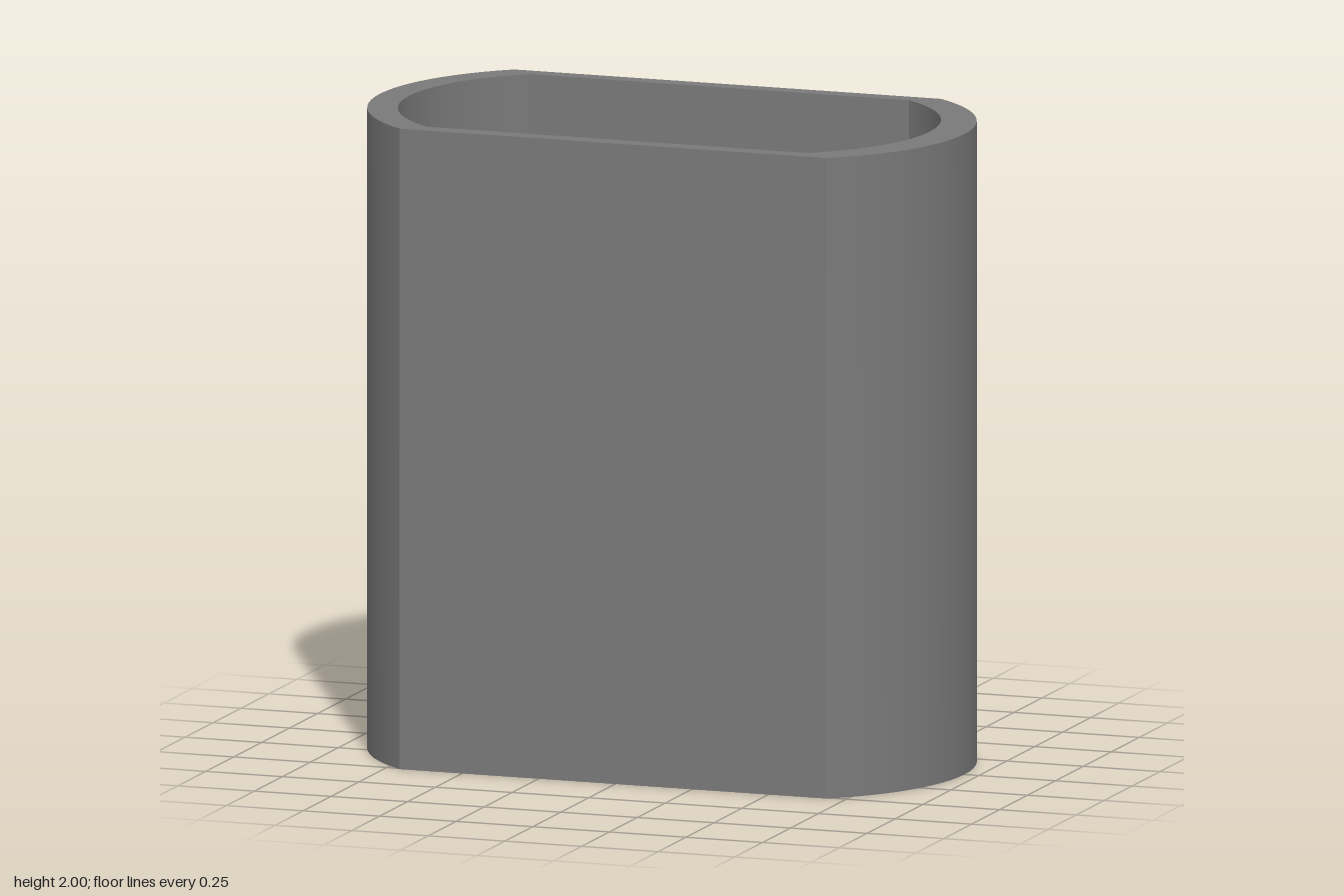
import * as THREE from 'three';
import { toCreasedNormals } from 'three/addons/utils/BufferGeometryUtils.js';

const HEIGHT = 2, FLOOR = 0.08, SEGMENTS = 24;

// Bulging arc from (x, y0) to (x, y1) whose crown reaches xTip
function endArc(x, xTip, y0, y1) {
  const half = Math.abs(y1 - y0) / 2, sag = Math.abs(xTip - x);
  const radius = (sag * sag + half * half) / (2 * sag);
  const side = Math.sign(xTip - x), sweep = Math.asin(half / radius);
  const cx = xTip - side * radius, cy = (y0 + y1) / 2;
  return Array.from({ length: SEGMENTS + 1 }, (_, i) => {
    const a = sweep * (2 * i / SEGMENTS - 1);
    return new THREE.Vector2(cx + side * radius * Math.cos(a), cy + side * radius * Math.sin(a));
  });
}

// Outline with two flat sides and two curved ends, counter-clockwise
const outline = (left, leftTip, right, rightTip, y0, y1) =>
  [...endArc(right, rightTip, y0, y1), ...endArc(left, leftTip, y1, y0)];

export function createModel() {
  const group = new THREE.Group();
  group.name = 'container';
  const material = new THREE.MeshStandardMaterial({ color: 0x7a7a7a });
  const outer = outline(-0.704, -0.955, 0.69, 0.953, -0.512, 0.512);
  const inner = outline(-0.635, -0.86, 0.606, 0.84, -0.455, 0.457);

  const add = (name, geometry, y = 0) => {
    const mesh = new THREE.Mesh(geometry, material);
    mesh.name = name;
    mesh.position.y = y;
    group.add(mesh);
  };

  // Upright wall around the hollow
  const ring = new THREE.Shape(outer);
  ring.holes.push(new THREE.Path(inner));
  const wall = new THREE.ExtrudeGeometry(ring, { depth: HEIGHT, bevelEnabled: false });
  add('wall', toCreasedNormals(wall.rotateX(-Math.PI / 2), 0.4));

  // Closed bottom: floor inside, underside below
  const innerShape = new THREE.Shape(inner);
  add('floor', new THREE.ShapeGeometry(innerShape).rotateX(-Math.PI / 2), FLOOR);
  const mirrored = new THREE.Shape(inner.map((p) => new THREE.Vector2(p.x, -p.y)));
  add('underside', new THREE.ShapeGeometry(mirrored).rotateX(Math.PI / 2));
  return group;
}
